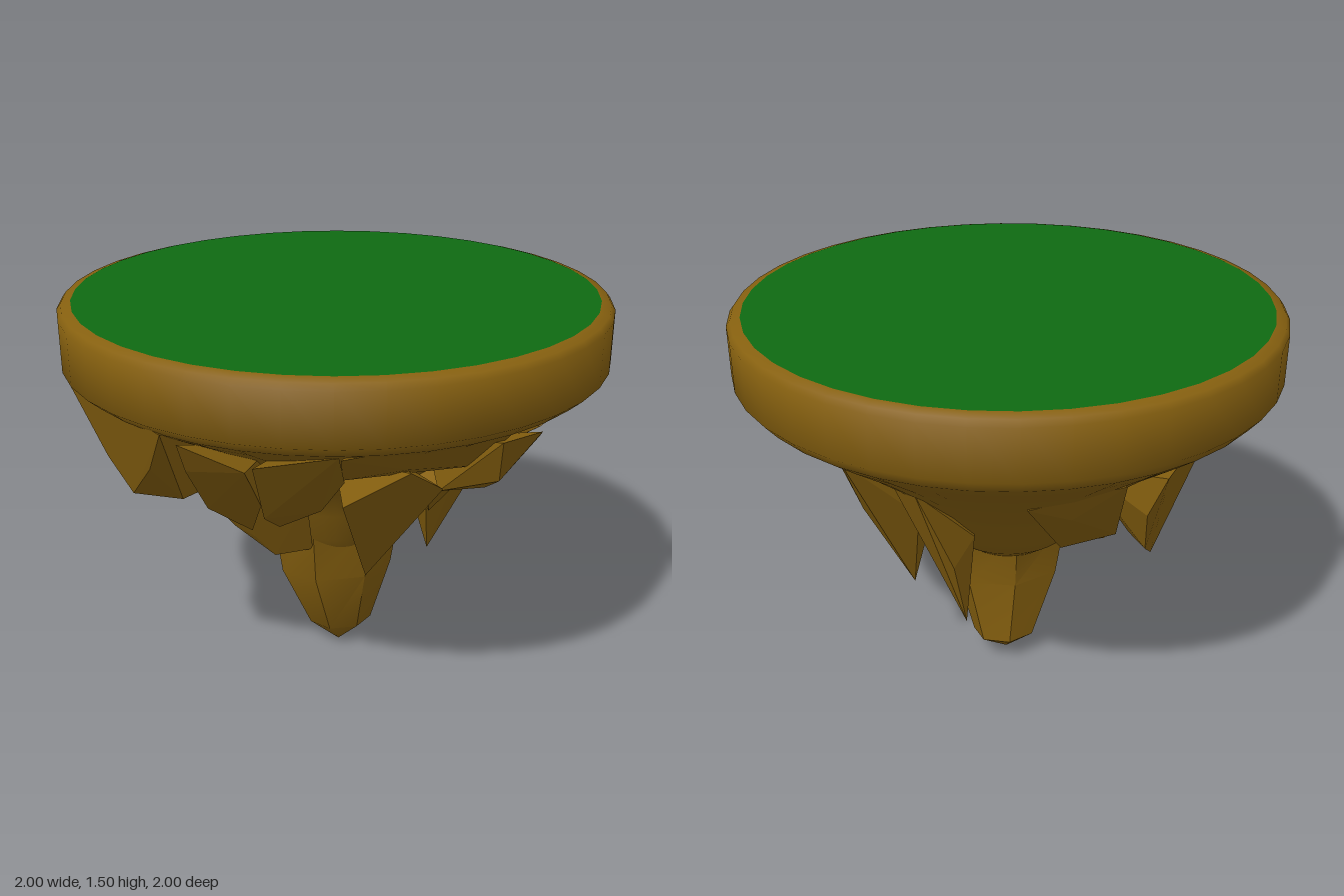
import * as THREE from 'three';
import { toCreasedNormals } from 'three/addons/utils/BufferGeometryUtils.js';
import { ConvexGeometry } from 'three/addons/geometries/ConvexGeometry.js';

const earth = new THREE.MeshStandardMaterial({ name: 'brown earth', color: 0x86600f });
const grass = new THREE.MeshStandardMaterial({ name: 'green grass', color: 0x0f6a12 });

function part(name, geometry, crease) {
  const mesh = new THREE.Mesh(toCreasedNormals(geometry, crease), earth);
  mesh.name = name;
  return mesh;
}

// Faceted rock: outer corner points, wrapped into a convex solid
function rock(name, corners) {
  const mesh = new THREE.Mesh(new ConvexGeometry(corners.map((c) => new THREE.Vector3(...c))), earth);
  mesh.name = name;
  return mesh;
}

// Rim and smooth flaring underside in one lathe; the cone drifts towards the back as it goes down
function earthBody() {
  const profile = [
    [0.15, 0.5], [0.24, 0.58], [0.31, 0.7], [0.41, 0.83], [0.55, 0.96], [0.71, 1.08], [0.87, 1.18], [0.955, 1.235],
    [1, 1.28], [1, 1.465], [0.985, 1.485], [0.95, 1.495],
  ];
  const geo = new THREE.LatheGeometry(profile.map(([r, y]) => new THREE.Vector2(r, y)), 40);
  const pos = geo.attributes.position;
  for (let i = 0; i < pos.count; i++) {
    const y = pos.getY(i);
    const drift = THREE.MathUtils.clamp((1.28 - y) * 4, 0, 1) * THREE.MathUtils.clamp((y - 0.5) * 4, 0, 1);
    pos.setX(i, pos.getX(i) + 0.02 * drift);
    pos.setZ(i, pos.getZ(i) - 0.06 * drift);
  }
  return part('earthBody', geo, 1);
}

// Central spire: seven-sided rings, each [y, centre x, centre z, radius x, radius z]
function spire() {
  const rings = [
    [0.1, 0.03, -0.04, 0.128, 0.11], [0.38, 0, 0, 0.225, 0.17],
    [0.62, 0, 0, 0.26, 0.21], [0.9, 0, -0.02, 0.36, 0.36],
  ];
  const n = 7, position = [0.02, 0, -0.03], index = [];
  for (const [y, cx, cz, rx, rz] of rings)
    for (let i = 0; i < n; i++) {
      const a = (i / n) * Math.PI * 2 + 0.3;
      position.push(cx + rx * Math.sin(a), y, cz + rz * Math.cos(a));
    }
  for (let i = 0; i < n; i++) {
    const j = (i + 1) % n;
    index.push(0, 1 + j, 1 + i);
    for (let r = 0; r < rings.length - 1; r++) {
      const a = 1 + r * n + i, b = 1 + r * n + j;
      index.push(a, b, b + n, a, b + n, a + n);
    }
  }
  const geo = new THREE.BufferGeometry();
  geo.setAttribute('position', new THREE.Float32BufferAttribute(position, 3));
  geo.setIndex(index);
  return part('centralSpire', geo, 0.7);
}

export function createModel() {
  const island = new THREE.Group();
  island.name = 'floatingIsland';

  // Grass top
  const top = new THREE.Mesh(new THREE.CircleGeometry(0.95, 40), grass);
  top.name = 'grassTop';
  top.rotation.x = -Math.PI / 2;
  top.position.y = 1.495;

  island.add(top, earthBody(), spire());

  // Hanging rocks around the underside
  const rocks = {
    frontSpike: [[0, 0.5, 0.36], [0, 0.8, 0.58], [-0.18, 0.93, 0.64], [0.18, 0.95, 0.64], [0, 1.1, 0.8], [-0.1, 0.95, 0.3], [0.1, 0.95, 0.3]],
    frontUpperSlab: [[-0.27, 1.22, 0.9], [0, 1.26, 0.95], [0.3, 1.25, 0.91], [0.28, 1.05, 0.7], [0, 1.1, 0.77], [-0.2, 1.06, 0.7], [0, 1.1, 0.4]],
    frontLeftSlab: [[-0.5, 1.14, 0.7], [-0.42, 0.87, 0.52], [-0.33, 0.76, 0.38], [-0.15, 0.81, 0.36], [-0.23, 0.89, 0.56], [-0.2, 1.06, 0.72], [-0.27, 1.22, 0.88], [-0.2, 1, 0.2]],
    sideBoulder: [[-0.81, 0.88, 0.2], [-0.65, 0.87, 0.28], [-0.88, 1, 0.12], [-0.91, 1.1, 0.1], [-0.99, 1.27, 0.05], [-0.78, 1.06, 0.42], [-0.77, 1.25, 0.6], [-0.55, 0.82, 0.12], [-0.7, 1.05, -0.25], [-0.4, 1, 0]],
    sideFrontBoulder: [[-0.58, 0.86, 0.36], [-0.68, 1.08, 0.52], [-0.52, 1.12, 0.68], [-0.72, 1.21, 0.6], [-0.42, 0.9, 0.48], [-0.4, 0.7, 0.26], [-0.3, 1, 0.2]],
    sideRidge: [[-0.55, 0.81, 0.12], [-0.43, 0.65, 0.1], [-0.36, 0.61, 0.14], [-0.28, 0.51, 0.12], [-0.14, 0.53, 0.15], [-0.2, 0.8, 0.28], [-0.45, 0.85, 0.26], [-0.45, 0.9, -0.12], [-0.2, 0.62, -0.1]],
    backSideSlab: [[-0.39, 0.62, -0.47], [-0.33, 0.68, -0.4], [-0.32, 0.7, -0.56], [-0.27, 0.9, -0.66], [-0.3, 1.08, -0.74], [-0.72, 1.08, -0.32], [-0.52, 0.8, -0.36], [-0.2, 0.9, -0.25]],
    backSideBoulder: [[-0.54, 0.8, -0.28], [-0.66, 0.92, -0.2], [-0.74, 1.08, -0.38], [-0.46, 0.78, -0.16], [-0.8, 1.17, -0.28], [-0.3, 0.95, -0.2]],
    backSlab: [[0.17, 1, -0.65], [-0.14, 1.09, -0.76], [0, 0.92, -0.63], [-0.05, 0.68, -0.42], [-0.22, 0.76, -0.52], [0, 0.9, -0.2]],
    backRidge: [[-0.3, 0.58, -0.12], [-0.2, 0.56, -0.2], [-0.24, 0.66, -0.38], [-0.42, 0.8, -0.24], [-0.3, 0.95, -0.4], [-0.15, 0.8, -0.1]],
    rightSpike: [[0.39, 0.38, 0], [0.34, 0.6, 0.1], [0.49, 0.61, -0.06], [0.57, 0.72, 0.04], [0.46, 0.9, 0.2], [0.67, 0.98, 0.1], [0.7, 1.07, -0.22], [0.4, 0.75, -0.13], [0.35, 0.9, -0.12], [0.25, 0.8, 0.05]],
    backRightSpike: [[0.26, 0.32, -0.25], [0.25, 0.55, -0.16], [0.33, 0.62, -0.33], [0.52, 0.95, -0.19], [0.49, 1, -0.41], [0.24, 0.72, -0.3], [0.2, 0.85, -0.15]],
    rightBoulder: [[0.68, 0.94, 0.2], [0.57, 0.95, 0.32], [0.82, 1.09, 0.16], [0.6, 1.08, 0.51], [0.91, 1.2, 0.18], [0.7, 1.2, 0.57], [0.48, 0.86, 0.22], [0.76, 1.08, -0.02], [0.4, 1.05, 0.2]],
    frontRightBoulder: [[0.3, 1.04, 0.82], [0.34, 1.03, 0.76], [0.33, 0.94, 0.65], [0.5, 1.13, 0.7], [0.42, 1.22, 0.87], [0.26, 1.22, 0.92], [0.2, 0.9, 0.55], [0.5, 1, 0.5], [0.25, 1, 0.3]],
    frontRightSpike: [[0.27, 0.7, 0.3], [0.33, 0.95, 0.52], [0.18, 0.86, 0.5], [0.36, 0.8, 0.32], [0.45, 1.04, 0.5], [0.15, 0.9, 0.25], [0.35, 0.95, 0.2]],
    innerShard: [[0.22, 0.5, 0.08], [0.14, 0.62, 0.19], [0.17, 0.82, 0.32], [0.33, 0.85, 0.2], [0.28, 0.62, 0.05], [0.1, 0.8, 0.05]],
  };
  for (const [name, corners] of Object.entries(rocks)) island.add(rock(name, corners));
  return island;
}
